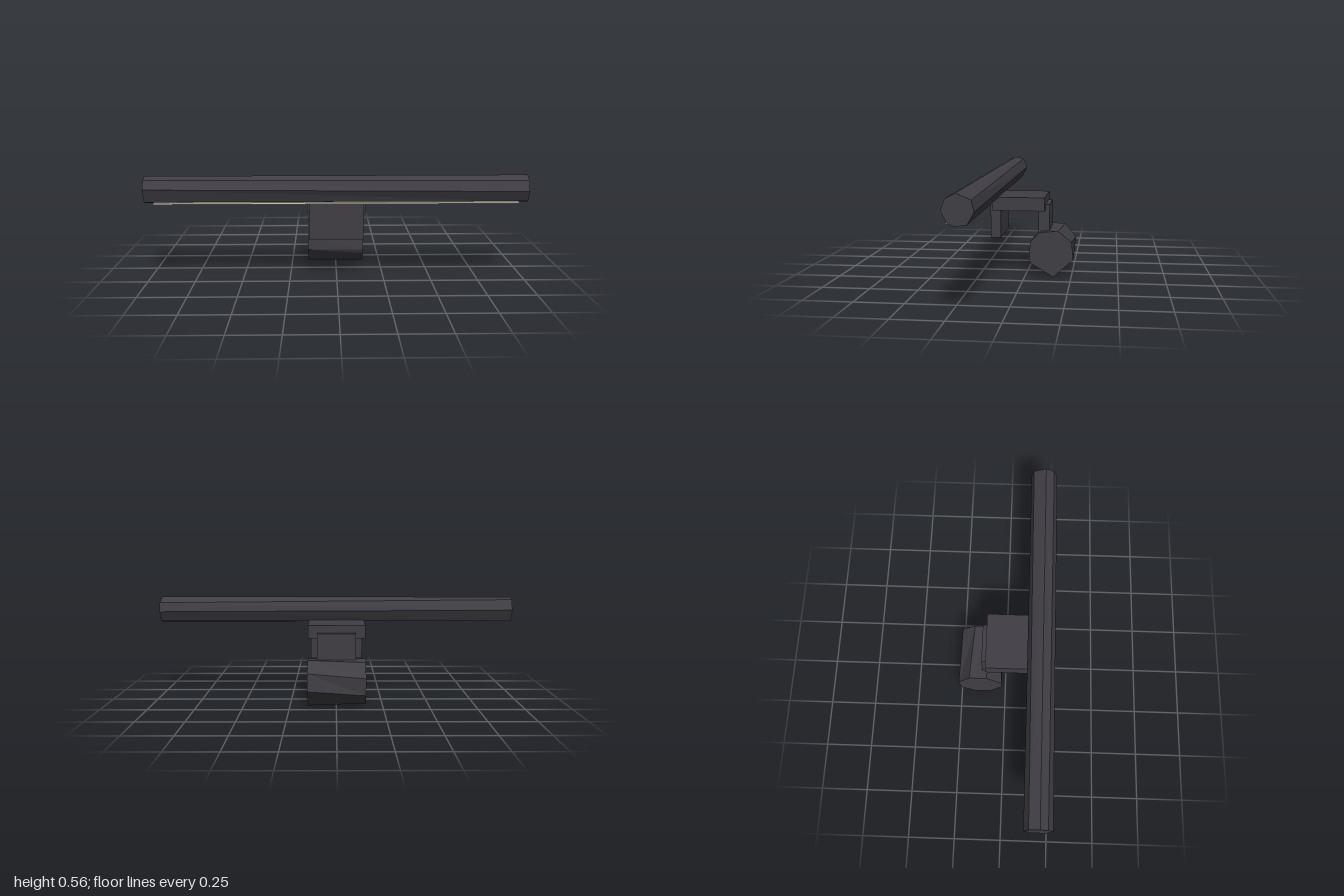
import * as THREE from 'three';

const dark = new THREE.MeshStandardMaterial({ color: 0x403e44, flatShading: true });
dark.name = 'dark grey casing';
const cream = new THREE.MeshStandardMaterial({ color: 0xd6cfb8, flatShading: true });
cream.name = 'cream diffuser';

// Box given by its limits on each axis
function box(name, material, [x0, x1], [y0, y1], [z0, z1]) {
  const mesh = new THREE.Mesh(new THREE.BoxGeometry(x1 - x0, y1 - y0, z1 - z0), material);
  mesh.position.set((x0 + x1) / 2, (y0 + y1) / 2, (z0 + z1) / 2);
  mesh.name = name;
  return mesh;
}

// Capped prism along x between two [z, y] rings, counter-clockwise seen from +x
function loft(name, material, x0, x1, leftRing, rightRing) {
  const a = leftRing.map(([z, y]) => [x1, y, z]);
  const b = rightRing.map(([z, y]) => [x0, y, z]);
  const n = a.length, pos = [];
  const tri = (...corners) => corners.forEach((c) => pos.push(...c));
  for (let i = 0; i < n; i++) {
    const j = (i + 1) % n;
    tri(a[j], a[i], b[i]);
    tri(a[j], b[i], b[j]);
    if (i > 0 && i < n - 1) {
      tri(a[0], a[i], a[j]);
      tri(b[0], b[j], b[i]);
    }
  }
  const geometry = new THREE.BufferGeometry();
  geometry.setAttribute('position', new THREE.Float32BufferAttribute(pos, 3));
  geometry.computeVertexNormals();
  const mesh = new THREE.Mesh(geometry, material);
  mesh.name = name;
  return mesh;
}

export function createModel() {
  const group = new THREE.Group();
  group.name = 'lightBar';

  // Long faceted lamp tube
  group.add(loft('lampTube', dark, -1, 1,
    [[0.241, 0.537], [0.261, 0.484], [0.23, 0.427], [0.198, 0.417],
      [0.146, 0.425], [0.114, 0.482], [0.127, 0.532], [0.195, 0.561]],
    [[0.235, 0.543], [0.261, 0.498], [0.232, 0.428], [0.198, 0.418],
      [0.15, 0.425], [0.116, 0.49], [0.14, 0.548], [0.195, 0.559]]));

  // Thin light diffuser under the front of the tube
  group.add(box('diffuser', cream, [-0.95, 0.95], [0.418, 0.427], [0.195, 0.247]));

  // Clamp: top plate, front lip and rear stem
  group.add(box('clampPlate', dark, [-0.157, 0.153], [0.36, 0.432], [-0.107, 0.175]));
  group.add(box('frontLip', dark, [-0.147, 0.144], [0.212, 0.417], [0.13, 0.185]));
  group.add(box('rearStem', dark, [-0.107, 0.104], [0.235, 0.39], [-0.13, -0.07]));

  // Faceted counterweight, its facets twisting slightly from end to end
  group.add(loft('counterweight', dark, -0.157, 0.153,
    [[-0.154, 0.002], [-0.261, 0.1], [-0.252, 0.195], [-0.179, 0.254],
      [-0.082, 0.246], [-0.03, 0.195], [-0.022, 0.1], [-0.034, 0.075]],
    [[-0.175, 0.018], [-0.252, 0.077], [-0.261, 0.17], [-0.2, 0.246],
      [-0.105, 0.25], [-0.021, 0.17], [-0.021, 0.1], [-0.082, 0.025]]));

  return group;
}
